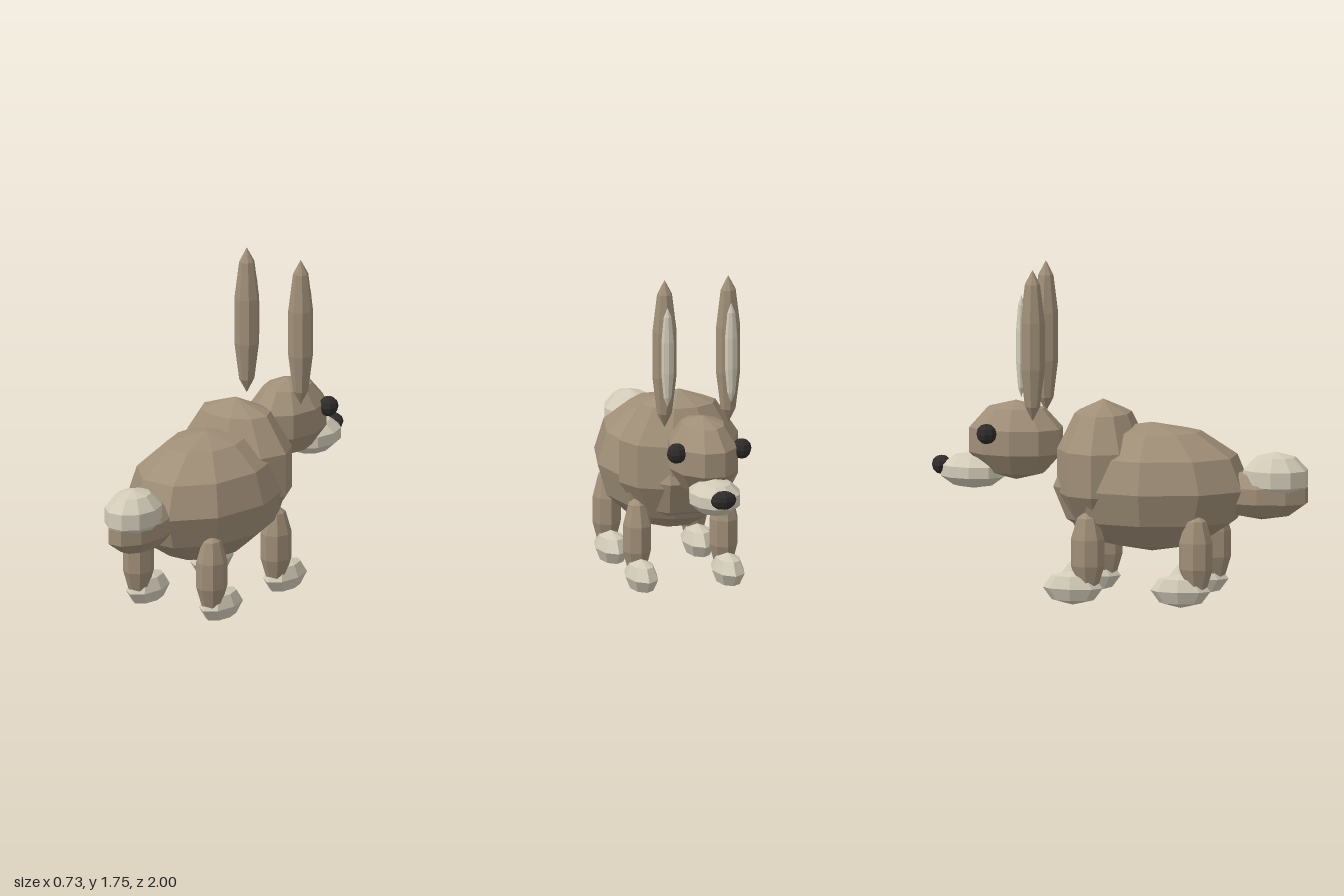
import * as THREE from 'three';

const material = (name, color) => {
  const m = new THREE.MeshStandardMaterial({ color, flatShading: true });
  m.name = name;
  return m;
};

export function createModel() {
  const fur = material('brown fur', 0xa08f78);
  const cream = material('cream fur', 0xd2cbb8);
  const dark = material('dark eyes and nose', 0x2e2b29);

  const model = new THREE.Group();
  model.name = 'rabbit';

  // Faceted ellipsoid: centre, radii, sides around and rings from pole to pole
  const blob = (name, mat, [x, y, z], [rx, ry, rz], sides, rings) => {
    const geometry = new THREE.SphereGeometry(1, sides, rings).scale(rx, ry, rz);
    const mesh = new THREE.Mesh(geometry, mat);
    mesh.name = name;
    mesh.position.set(x, y, z);
    model.add(mesh);
  };

  // Trunk
  blob('body', fur, [0, 0.605, 0.175], [0.365, 0.34, 0.53], 10, 6);
  blob('chest', fur, [0, 0.69, -0.085], [0.34, 0.37, 0.25], 10, 5);

  // Head
  blob('head', fur, [0, 0.83, -0.55], [0.19, 0.21, 0.265], 10, 5);
  blob('snout', cream, [0, 0.662, -0.777], [0.142, 0.095, 0.184], 10, 5);
  blob('nose', dark, [0, 0.686, -0.948], [0.07, 0.05, 0.052], 8, 6);

  // Tail: brown underside with a cream puff on top
  blob('tailBase', fur, [0, 0.58, 0.76], [0.138, 0.133, 0.265], 10, 5);
  blob('tailPuff', cream, [0, 0.67, 0.835], [0.145, 0.136, 0.182], 10, 5);

  // Mirrored parts
  for (const [side, s] of [['left', 1], ['right', -1]]) {
    blob(`${side}Eye`, dark, [s * 0.176, 0.88, -0.672], [0.054, 0.054, 0.054], 8, 6);
    blob(`${side}Ear`, fur, [s * 0.173, 1.355, -0.427], [0.069, 0.4, 0.069], 8, 5);
    blob(`${side}InnerEar`, cream, [s * 0.173, 1.35, -0.487], [0.036, 0.27, 0.029], 8, 5);

    for (const [end, legZ, footZ] of [['Front', -0.12, -0.2], ['Back', 0.458, 0.375]]) {
      blob(`${side}${end}Leg`, fur, [s * 0.235, 0.28, legZ], [0.081, 0.225, 0.094], 8, 5);
      blob(`${side}${end}Foot`, cream, [s * 0.235, 0.092, footZ], [0.085, 0.09, 0.16], 8, 4);
    }
  }

  return model;
}
